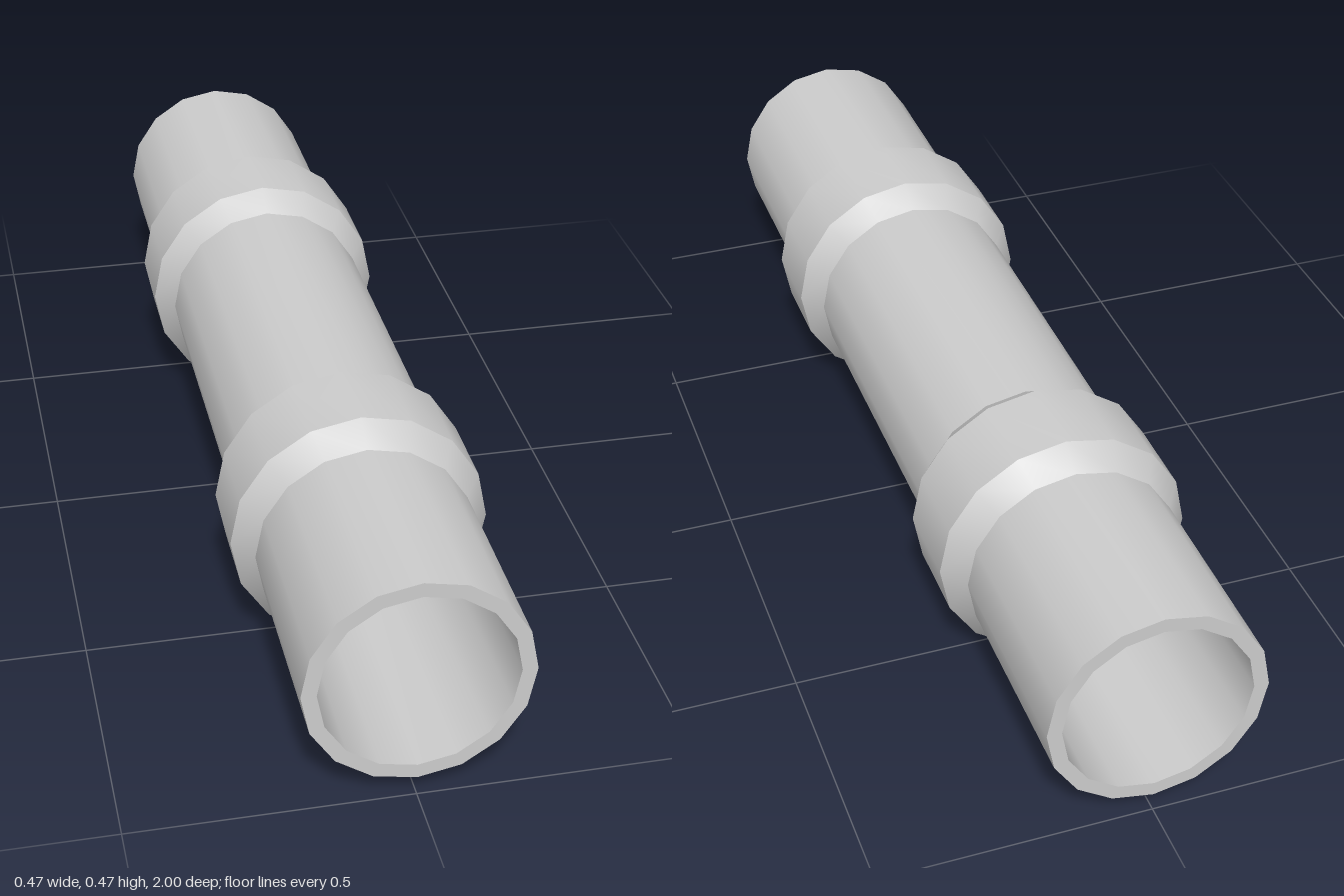
import * as THREE from 'three';
import { toCreasedNormals } from 'three/addons/utils/BufferGeometryUtils.js';

const SIDES = 16;
const AXIS_Y = 0.236;

// Revolve a [radius, z] profile around the z axis, smooth around, sharp along
function revolve(name, profile, material) {
  const points = profile.map(([r, z]) => new THREE.Vector2(r, z));
  const geometry = new THREE.LatheGeometry(points, SIDES).rotateX(Math.PI / 2);
  const mesh = new THREE.Mesh(toCreasedNormals(geometry, 0.5), material);
  mesh.name = name;
  return mesh;
}

export function createModel() {
  const group = new THREE.Group();
  group.name = 'pipe';
  const material = new THREE.MeshStandardMaterial({ color: 0xcccccc });

  // Hollow tube: outer wall, end rims and inner wall
  const outer = 0.2, inner = 0.173;
  const tube = revolve('tube', [
    [outer, -1], [outer, 1], [inner, 1], [inner, -1], [outer, -1],
  ], material);
  tube.position.y = AXIS_Y;
  group.add(tube);

  // Bevelled collars, one towards each end
  for (const [name, z] of [['frontCollar', 0.47], ['backCollar', -0.47]]) {
    const collar = revolve(name, [
      [outer, -0.13], [AXIS_Y, -0.08], [AXIS_Y, 0.08], [outer, 0.13],
    ], material);
    collar.position.set(0, AXIS_Y, z);
    group.add(collar);
  }
  return group;
}
